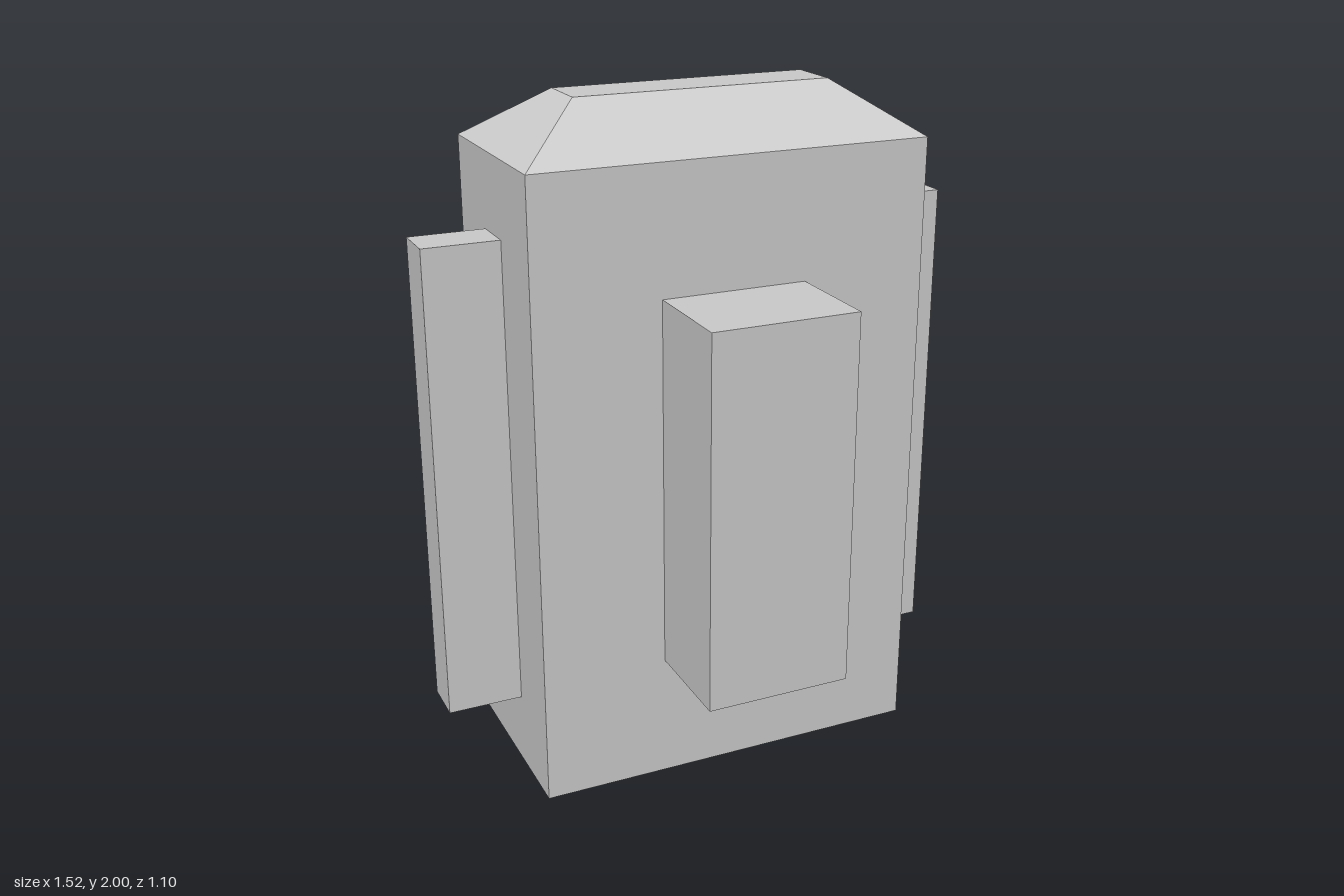
import * as THREE from 'three';

const material = new THREE.MeshStandardMaterial({ color: 0xcccccc, flatShading: true });

function addMesh(group, name, geometry) {
  const mesh = new THREE.Mesh(geometry, material);
  mesh.name = name;
  group.add(mesh);
}

// Box given by its extents on each axis
function slab([x0, x1], [y0, y1], [z0, z1]) {
  return new THREE.BoxGeometry(x1 - x0, y1 - y0, z1 - z0)
    .translate((x0 + x1) / 2, (y0 + y1) / 2, (z0 + z1) / 2);
}

// Upright block whose end rows are drawn in to make the bevels
function bevelledBlock(halfX, halfZ, rows) {
  const box = new THREE.BoxGeometry(2, rows.length - 1, 2, 1, rows.length - 1, 1);
  const p = box.attributes.position;
  for (let i = 0; i < p.count; i++) {
    const { y, inset } = rows[Math.round(p.getY(i) + (rows.length - 1) / 2)];
    p.setXYZ(i, p.getX(i) * (halfX - inset), y, p.getZ(i) * (halfZ - inset));
  }
  const geometry = box.toNonIndexed();
  geometry.computeVertexNormals();
  return geometry;
}

export function createModel() {
  const model = new THREE.Group();
  model.name = 'bevelledBlockWithPanels';

  // Main body: shallow bevel below, deeper bevel above
  const body = bevelledBlock(0.567, 0.278, [
    { y: 0, inset: 0.14 },
    { y: 0.085, inset: 0 },
    { y: 1.86, inset: 0 },
    { y: 2, inset: 0.2 },
  ]);
  addMesh(model, 'body', body.translate(0.017, 0, -0.027));

  // Raised panels on the four sides, set slightly into the body
  addMesh(model, 'frontPanel', slab([-0.192, 0.223], [0.445, 1.503], [0.2, 0.55]));
  addMesh(model, 'backPanel', slab([-0.217, 0.245], [0.425, 1.525], [-0.55, -0.25]));
  addMesh(model, 'leftPanel', slab([0.53, 0.76], [0.29, 1.657], [-0.102, 0.047]));
  addMesh(model, 'rightPanel', slab([-0.763, -0.5], [0.297, 1.648], [-0.094, 0.036]));

  return model;
}
